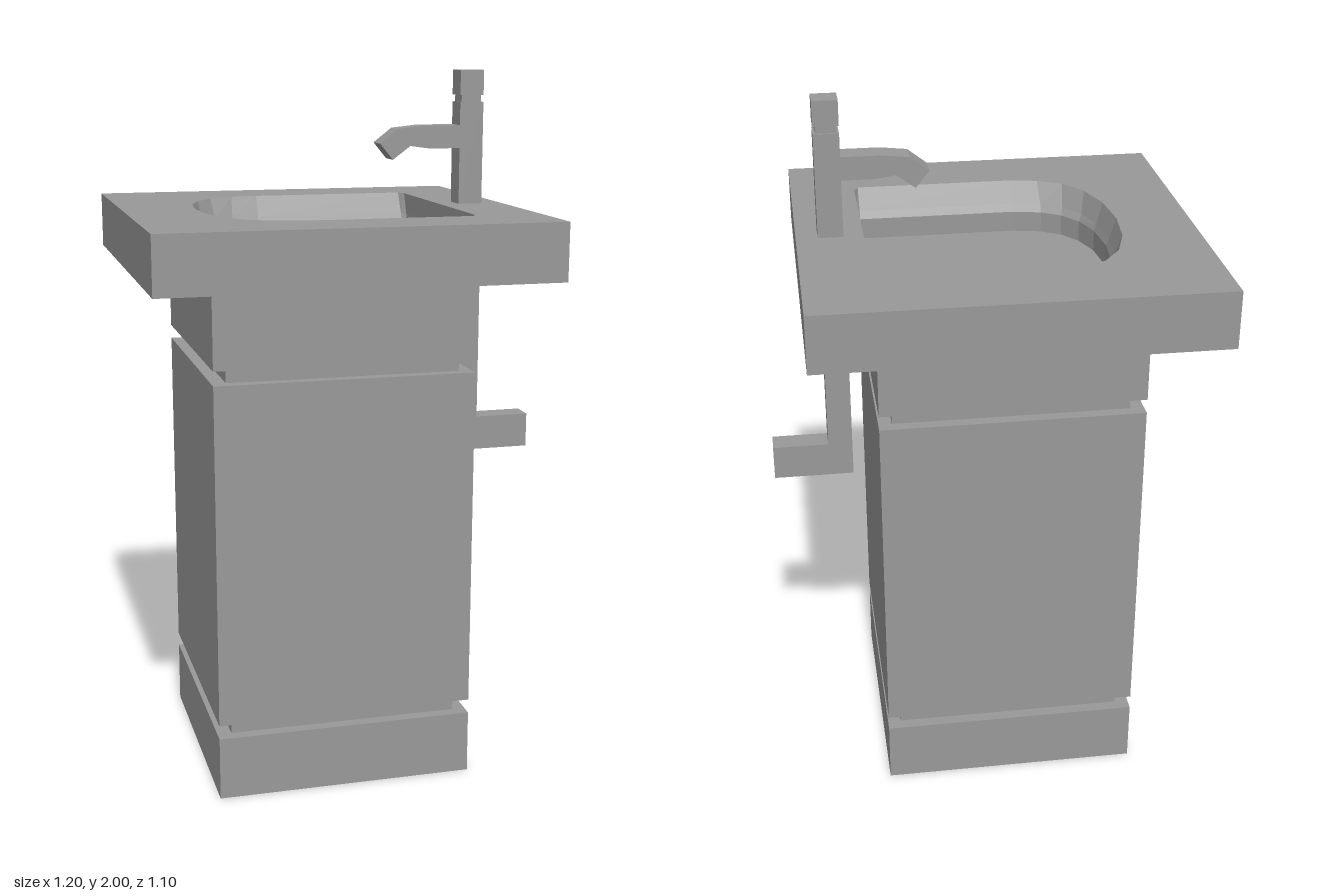
import * as THREE from 'three';

export function createModel() {
  const model = new THREE.Group();
  model.name = 'pedestalSink';
  const stone = new THREE.MeshStandardMaterial({ color: 0x999999 });
  stone.name = 'grey stone';

  const add = (name, geometry) => {
    const mesh = new THREE.Mesh(geometry, stone);
    mesh.name = name;
    model.add(mesh);
    return mesh;
  };
  // Box given by its limits on each axis
  const box = (name, x0, x1, y0, y1, z0, z1) => {
    const g = new THREE.BoxGeometry(x1 - x0, y1 - y0, z1 - z0);
    g.translate((x0 + x1) / 2, (y0 + y1) / 2, (z0 + z1) / 2);
    return add(name, g);
  };

  // Pedestal: three blocks with recessed grooves between them
  const block = (name, y0, y1) => box(name, -0.42, 0.313, y0, y1, -0.363, 0.367);
  const groove = (name, y0, y1) => box(name, -0.38, 0.276, y0, y1, -0.33, 0.333);
  block('pedestalBase', 0, 0.18);
  groove('lowerGroove', 0.18, 0.22);
  block('pedestalBody', 0.22, 1.19);
  groove('upperGroove', 1.19, 1.23);
  block('pedestalTop', 1.23, 1.46);

  // Basin outlines: half of each is listed, the rest is mirrored
  const mirror = half => [...half, ...half.slice(0, -1).reverse().map(([x, z]) => [x, -z])];
  const rim = mirror([[0.315, 0.33], [0.303, 0.355], [-0.15, 0.355], [-0.23, 0.34],
    [-0.3, 0.305], [-0.352, 0.235], [-0.385, 0.13], [-0.397, 0]]);
  const shoulder = mirror([[0.314, 0.3], [0.302, 0.318], [-0.152, 0.318], [-0.235, 0.3],
    [-0.295, 0.265], [-0.34, 0.205], [-0.367, 0.118], [-0.378, 0]]);
  const bowl = mirror([[0.313, 0.29], [0.302, 0.303], [-0.155, 0.303], [-0.235, 0.286],
    [-0.29, 0.252], [-0.332, 0.196], [-0.36, 0.115], [-0.37, 0]]);
  const toPoints = ring => ring.map(([x, z]) => new THREE.Vector2(x, z));

  // Countertop with the basin cut out, closed underneath by a thin plate
  const top = new THREE.Shape([[-0.6, -0.552], [0.5, -0.552], [0.5, 0.552], [-0.6, 0.552]]
    .map(p => new THREE.Vector2(...p)));
  top.holes.push(new THREE.Path(toPoints(rim)));
  const slab = new THREE.ExtrudeGeometry(top, { depth: 0.15, bevelEnabled: false });
  slab.rotateX(-Math.PI / 2).translate(0, 1.47, 0);
  add('countertop', slab);
  box('countertopUnderside', -0.6, 0.5, 1.46, 1.47, -0.552, 0.552);

  // Basin walls: flat facets joining the outlines from rim to floor
  const floorY = 1.48;
  const levels = [[rim, 1.62], [shoulder, 1.56], [bowl, 1.54], [bowl, floorY]];
  const positions = [];
  for (let k = 0; k < levels.length - 1; k++) {
    const [upper, yu] = levels[k], [lower, yl] = levels[k + 1];
    for (let i = 0; i < upper.length; i++) {
      const j = (i + 1) % upper.length;
      const a = [upper[i][0], yu, upper[i][1]], b = [upper[j][0], yu, upper[j][1]];
      const c = [lower[i][0], yl, lower[i][1]], d = [lower[j][0], yl, lower[j][1]];
      positions.push(...a, ...c, ...b, ...b, ...c, ...d);
    }
  }
  const walls = new THREE.BufferGeometry();
  walls.setAttribute('position', new THREE.Float32BufferAttribute(positions, 3));
  walls.computeVertexNormals();
  add('basinWalls', walls);
  const floor = new THREE.ShapeGeometry(new THREE.Shape(toPoints(bowl)));
  floor.rotateX(-Math.PI / 2).translate(0, floorY, 0);
  add('basinFloor', floor);

  // Tap: post, neck and cap
  box('tapPost', 0.37, 0.44, 1.62, 1.91, -0.038, 0.032);
  box('tapNeck', 0.376, 0.434, 1.91, 1.93, -0.032, 0.026);
  box('tapCap', 0.37, 0.44, 1.93, 2, -0.038, 0.032);

  // Bent spout, side outline extruded across its width
  const outline = [[0.37, 1.78], [0.37, 1.845], [0.26, 1.845], [0.185, 1.837],
    [0.132, 1.796], [0.17, 1.75], [0.222, 1.788], [0.28, 1.78]];
  const spout = new THREE.ExtrudeGeometry(
    new THREE.Shape(outline.map(p => new THREE.Vector2(...p))), { depth: 0.07, bevelEnabled: false });
  spout.translate(0, 0, -0.038);
  add('spout', spout);

  // Supply pipe below the countertop, turning outwards
  box('pipeDrop', 0.37, 0.44, 0.98, 1.46, -0.038, 0.032);
  box('pipeElbow', 0.37, 0.6, 0.88, 0.98, -0.038, 0.032);

  return model;
}
